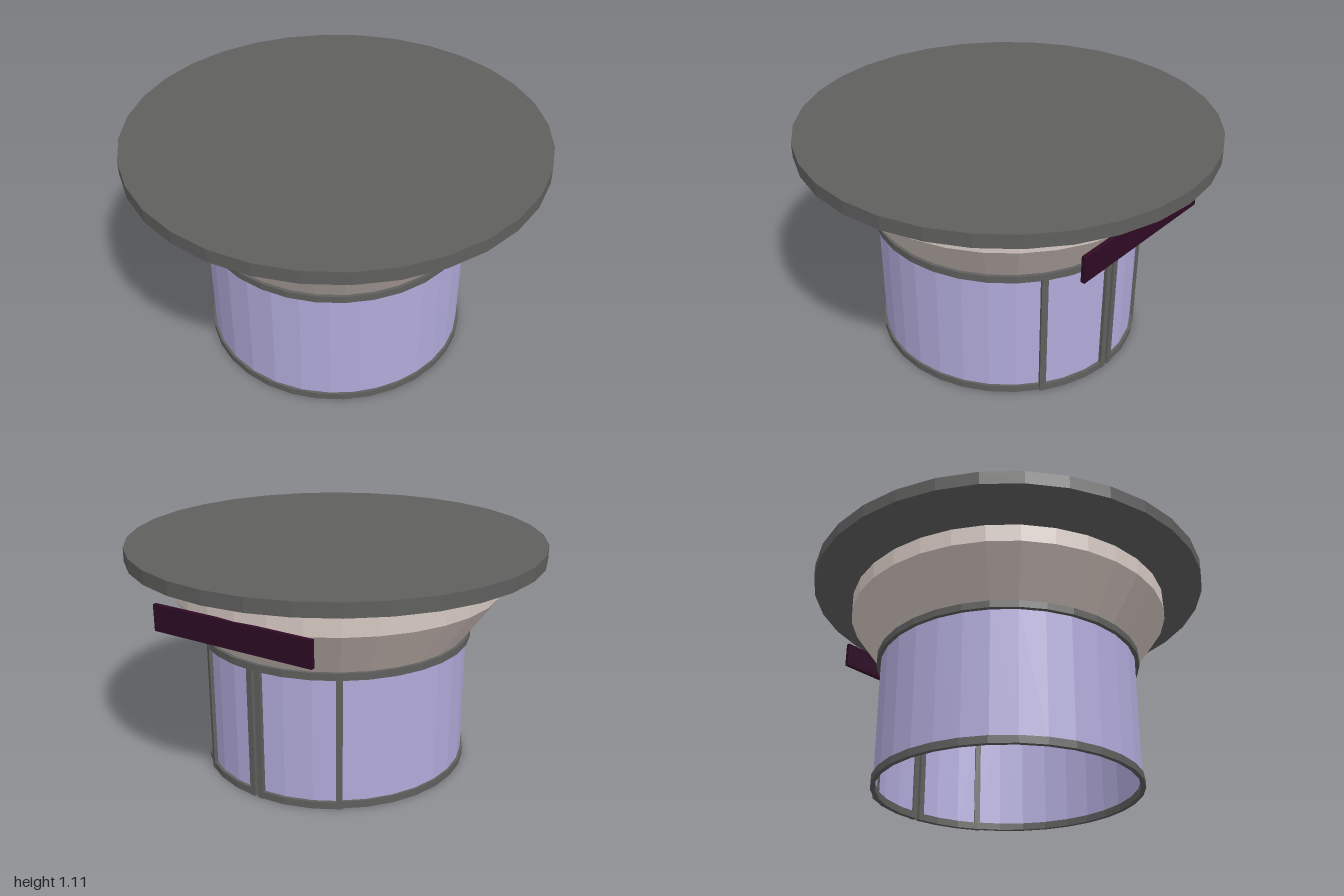
import * as THREE from 'three';

const rad = THREE.MathUtils.degToRad;

export function createModel() {
  const model = new THREE.Group();
  const mat = (name, color, extra = {}) => {
    const m = new THREE.MeshStandardMaterial({ color, flatShading: true, ...extra });
    m.name = name;
    return m;
  };
  const grey = mat('dark grey', 0x5f5f5e);
  const beige = mat('warm beige', 0xd6c8c2);
  const glass = mat('lilac glass', 0xb2abdb, { side: THREE.DoubleSide });
  const plum = mat('dark plum', 0x2e0b25);

  const add = (name, geometry, material, parent = model) => {
    const mesh = new THREE.Mesh(geometry, material);
    mesh.name = name;
    parent.add(mesh);
    return mesh;
  };
  // Turned part from [radius, height] pairs; angles in degrees from the front
  const turned = (pairs, start = 0, sweep = 360) => new THREE.LatheGeometry(
    pairs.map(([r, y]) => new THREE.Vector2(r, y)),
    Math.max(2, Math.round(sweep / 11.25)), rad(start), rad(sweep));
  const band = (r0, r1, y0, y1, start, sweep) =>
    turned([[r0, y0], [r1, y0], [r1, y1], [r0, y1], [r0, y0]], start, sweep);

  // Wide roof disc with a bevelled underside
  add('roof', turned([[0, 0.975], [0.8, 0.975], [1, 1.045], [1, 1.11], [0, 1.11]]), grey);

  // Flared collar under the roof, closed by the ceiling
  add('collar', turned([[0, 0.665], [0.64, 0.665], [0.8, 0.89], [0.8, 0.98]]), beige);

  // Curved glass wall panels, leaving the doorway open at the back
  const seams = [-146.5, -90, -22.5, 39, 90, 146];
  for (let i = 0; i < seams.length - 1; i++) {
    add('wallPanel', turned([[0.64, 0.01], [0.64, 0.66]], seams[i], seams[i + 1] - seams[i]), glass);
  }

  // Rings around the wall
  add('topRing', band(0.625, 0.66, 0.638, 0.672, 0, 360), grey);
  add('bottomRing', band(0.63, 0.652, 0, 0.035, -146.5, 292.5), grey);

  // Two framed curved doors at the back
  for (const [start, end] of [[144.7, 177.4], [178.8, 214.8]]) {
    const door = new THREE.Group();
    door.name = 'door';
    model.add(door);
    const sweep = end - start;
    add('doorGlass', turned([[0.645, 0.02], [0.645, 0.65]], start, sweep), glass, door);
    add('doorBottomRail', band(0.635, 0.66, 0, 0.035, start, sweep), grey, door);
    add('doorTopRail', band(0.635, 0.66, 0.638, 0.67, start, sweep), grey, door);
    for (const angle of [start + 1.3, end - 1.3]) {
      const a = rad(angle);
      const post = add('doorPost', new THREE.BoxGeometry(0.03, 0.67, 0.026), grey, door);
      post.position.set(0.647 * Math.sin(a), 0.335, 0.647 * Math.cos(a));
      post.rotation.y = a;
    }
  }

  // Flat sign board above the doors
  const board = add('signBoard', new THREE.BoxGeometry(0.84, 0.126, 0.02), plum);
  board.position.set(0.025, 0.853, -0.8);

  return model;
}
